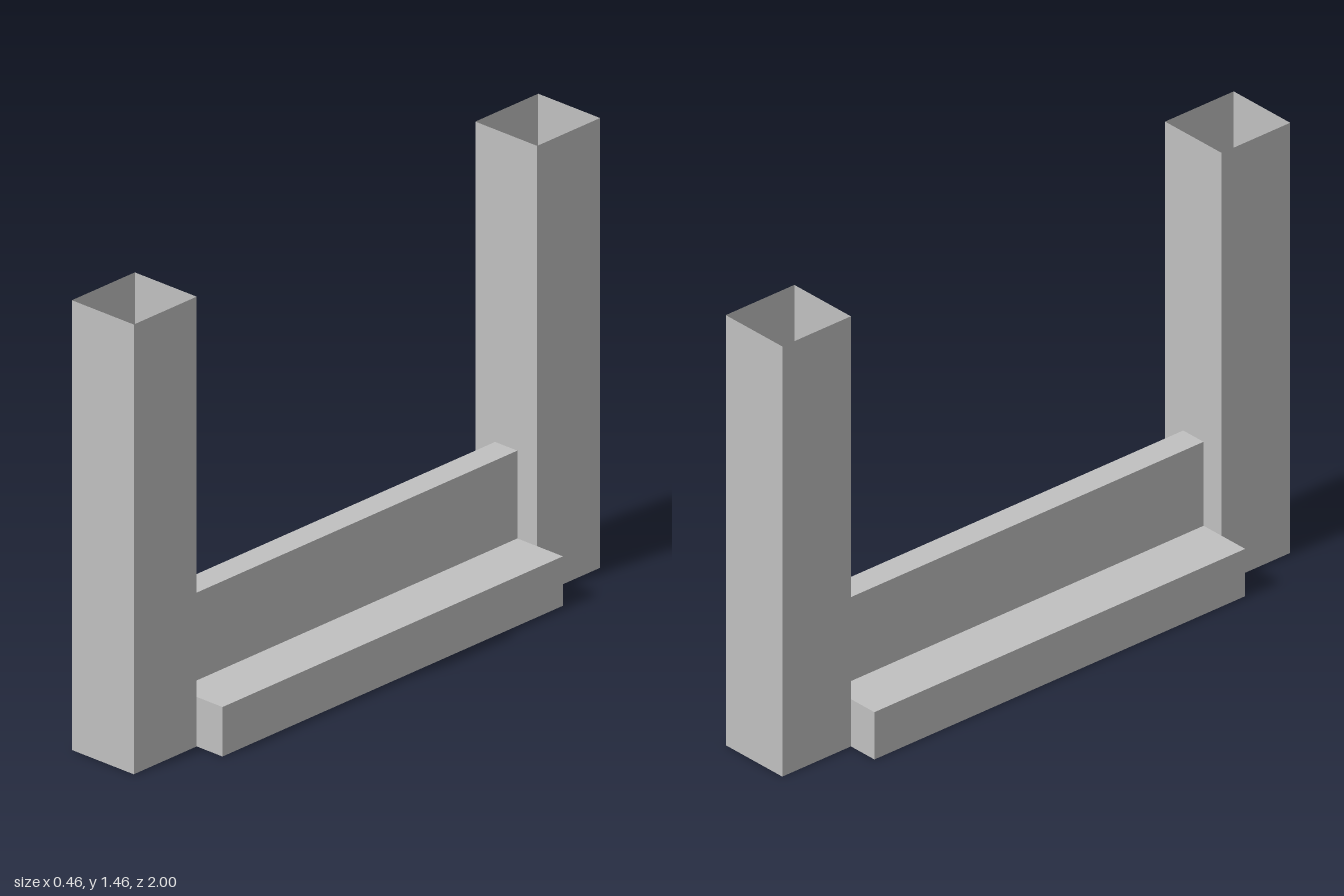
import * as THREE from 'three';

// Thin shell: sweeps an open outline (clockwise, in x and y) along z, centred on z = 0
function sweepShell(outline, length) {
  const pos = [];
  const h = length / 2;
  for (let i = 0; i < outline.length - 1; i++) {
    const [ax, ay] = outline[i];
    const [bx, by] = outline[i + 1];
    pos.push(ax, ay, h, bx, by, h, bx, by, -h);
    pos.push(ax, ay, h, bx, by, -h, ax, ay, -h);
  }
  const geo = new THREE.BufferGeometry();
  geo.setAttribute('position', new THREE.Float32BufferAttribute(pos, 3));
  geo.computeVertexNormals();
  return geo;
}

export function createModel() {
  const group = new THREE.Group();
  const grey = new THREE.MeshStandardMaterial({ color: 0xc0c0c0, side: THREE.DoubleSide });
  grey.name = 'grey';

  const add = (name, geo, x, y, z) => {
    const mesh = new THREE.Mesh(geo, grey);
    mesh.name = name;
    mesh.position.set(x, y, z);
    group.add(mesh);
    return mesh;
  };

  const postHalfX = 0.125, postDepth = 0.27, postHeight = 1.455;
  const railHalf = 0.73, footX = 0.229, footTop = 0.16;
  const webX = 0.045, webTop = 0.444;

  // Square posts, open at top and bottom
  const d = postDepth / 2;
  const postOutline = [[-postHalfX, -d], [-postHalfX, d], [postHalfX, d], [postHalfX, -d], [-postHalfX, -d]];
  const postGeo = sweepShell(postOutline, postHeight).rotateX(-Math.PI / 2);
  add('frontPost', postGeo, 0, postHeight / 2, 1 - d);
  add('backPost', postGeo, 0, postHeight / 2, -1 + d);

  // Rail between the posts: upright web on a wide foot, slotted underneath
  const half = [[postHalfX, 0], [footX, 0], [footX, footTop], [webX, footTop], [webX, webTop]];
  const railOutline = [...half.map(([x, y]) => [-x, y]), ...half.slice().reverse()];
  add('rail', sweepShell(railOutline, railHalf * 2), 0, 0, 0);

  // End caps of the foot, beside the posts
  const capWidth = footX - postHalfX;
  const capGeo = new THREE.PlaneGeometry(capWidth, footTop);
  for (const sx of [-1, 1]) {
    for (const sz of [-1, 1]) {
      const cap = add('footEndCap', capGeo, sx * (postHalfX + capWidth / 2), footTop / 2, sz * railHalf);
      if (sz < 0) cap.rotation.y = Math.PI;
    }
  }
  return group;
}
